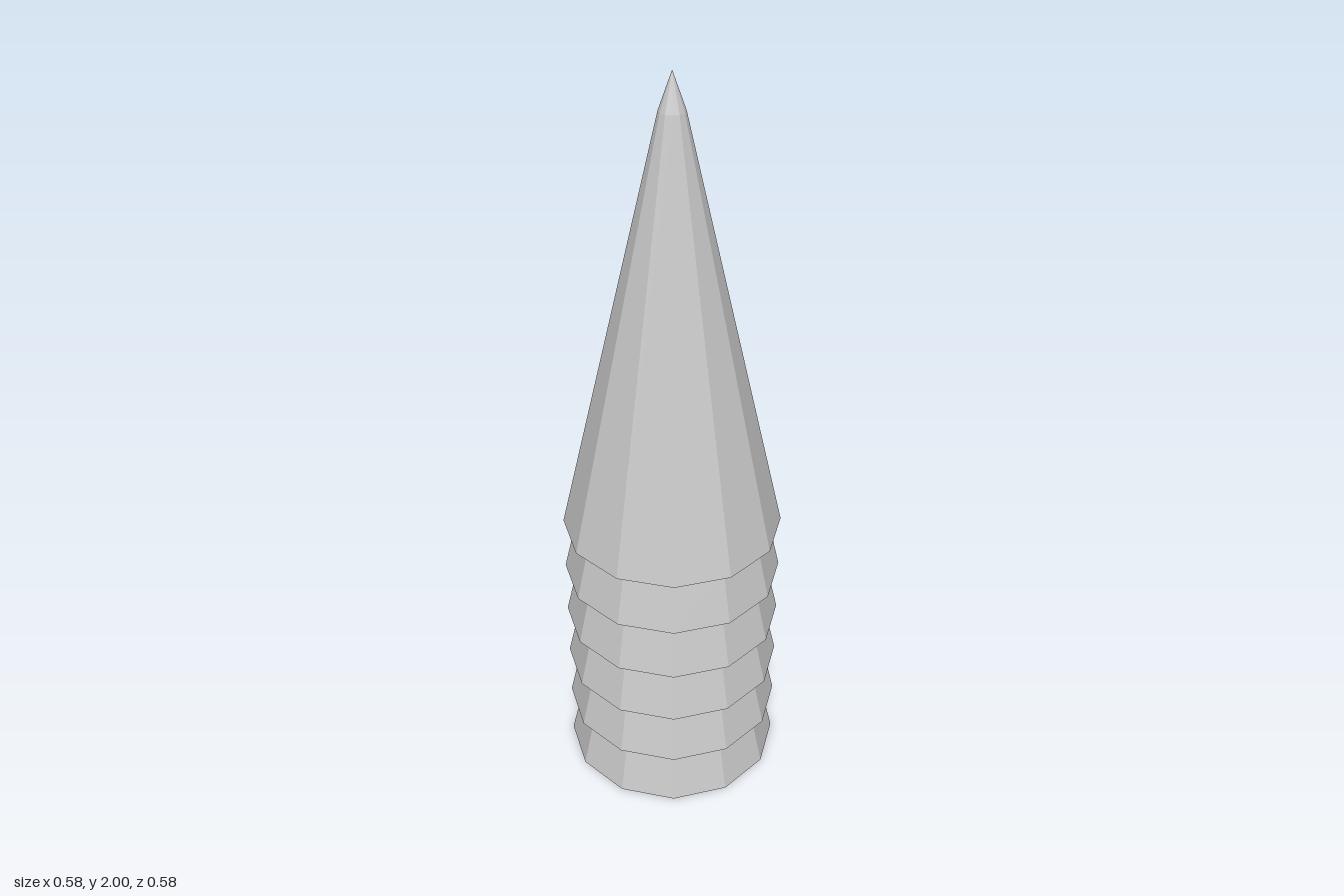
import * as THREE from 'three';

export function createModel() {
  const group = new THREE.Group();
  const grey = new THREE.MeshStandardMaterial({ color: 0xc8c8c8, flatShading: true });
  grey.name = 'light grey';

  const sides = 12;
  const baseRadius = 0.291;
  const step = 0.1515; // height of each stacked tier
  const slope = 0.2255; // radius lost per unit of height
  const tierCount = 5;
  const shoulderY = 1.905; // where the tip begins
  const tipRadius = 0.033;

  const addFrustum = (name, top, bottom, y0, y1, open = false) => {
    const geometry = new THREE.CylinderGeometry(top, bottom, y1 - y0, sides, 1, open);
    const mesh = new THREE.Mesh(geometry, grey);
    mesh.name = name;
    mesh.position.y = (y0 + y1) / 2;
    group.add(mesh);
  };

  // Flared tiers, each tucked under the wider rim above it
  for (let i = 0; i < tierCount; i++) {
    addFrustum(`tier${i + 1}`, baseRadius - slope * step, baseRadius, i * step, (i + 1) * step);
  }

  // Long upper cone with its closed underside
  const coneY = tierCount * step;
  addFrustum('upperCone', tipRadius, baseRadius, coneY, shoulderY);

  // Blunter pointed tip
  addFrustum('tip', 0, tipRadius, shoulderY, 2, true);

  return group;
}
